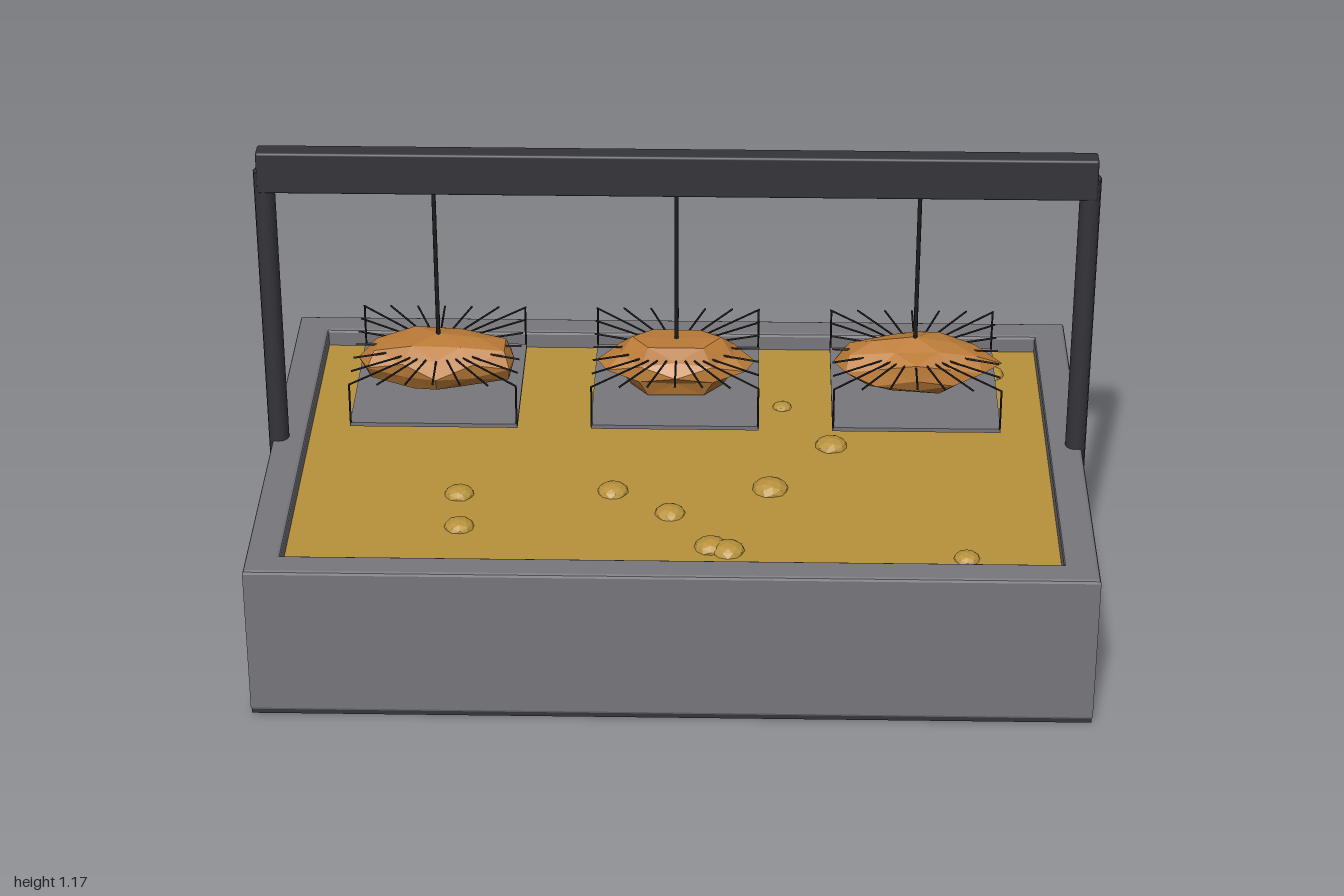
import * as THREE from 'three';
import { RoundedBoxGeometry } from 'three/addons/geometries/RoundedBoxGeometry.js';
import { mergeGeometries } from 'three/addons/utils/BufferGeometryUtils.js';

const mat = (name, color, extra = {}) => new THREE.MeshStandardMaterial({ name, color, ...extra });

export function createModel() {
  const steel = mat('steel grey', 0x77777c);
  const dark = mat('dark frame', 0x34343a);
  const black = mat('black base', 0x1c1c1f);
  const oilMat = mat('golden oil', 0xb8923c, { flatShading: true });
  const crust = mat('fried crust', 0xbc7c38, { flatShading: true });

  const model = new THREE.Group();
  model.name = 'fryer';
  const add = (name, geo, material, x = 0, y = 0, z = 0, parent = model) => {
    const mesh = new THREE.Mesh(geo, material);
    mesh.name = name;
    mesh.position.set(x, y, z);
    parent.add(mesh);
    return mesh;
  };
  const box = (w, h, d) => new THREE.BoxGeometry(w, h, d);

  // Vat walls: a softly bevelled rectangular ring
  const rect = (Type, x, z) => new Type([[-x, -z], [x, -z], [x, z], [-x, z]].map(p => new THREE.Vector2(...p)));
  const bevel = 0.008;
  const ring = rect(THREE.Shape, 0.99 - bevel, 0.625 - bevel);
  ring.holes.push(rect(THREE.Path, 0.91 + bevel, 0.55 + bevel));
  const walls = new THREE.ExtrudeGeometry(ring, {
    depth: 0.385 - 2 * bevel, bevelEnabled: true, bevelSize: bevel, bevelThickness: bevel, bevelSegments: 2,
  });
  walls.rotateX(-Math.PI / 2);
  add('vatWalls', walls, steel, 0, 0.01 + bevel, 0);

  // Underside
  add('baseRim', box(1.976, 0.014, 1.246), dark, 0, 0.009, 0);
  add('basePlate', box(1.84, 0.008, 1.12), black, 0, 0.004, 0);

  // Oil with bubbles: x, z, radius
  add('oil', box(1.83, 0.33, 1.11), oilMat, 0, 0.185, 0);
  const bubbles = [
    [0.79, -0.43, 0.036], [0.15, -0.375, 0.02], [0.09, -0.415, 0.02], [0.26, -0.25, 0.024],
    [0.5, -0.26, 0.015], [-0.5, -0.18, 0.034], [0.38, -0.06, 0.04], [0.23, 0.15, 0.044],
    [-0.01, 0.27, 0.037], [-0.51, 0.34, 0.036], [0.09, 0.42, 0.04], [0.13, 0.435, 0.04],
    [0.69, 0.46, 0.031], [-0.52, 0.19, 0.036], [-0.15, 0.17, 0.038],
  ];
  bubbles.forEach(([x, z, r], i) => {
    const bubble = add('bubble', new THREE.IcosahedronGeometry(r, 1), oilMat, x, 0.35, z);
    bubble.scale.y = 0.55;
    bubble.rotation.y = i;
  });

  // Gantry
  for (const s of [-1, 1]) {
    add('post', new THREE.CylinderGeometry(0.025, 0.025, 1.12, 12), dark, s * 0.975, 0.56, 0);
  }
  add('beam', new RoundedBoxGeometry(1.98, 0.105, 0.05, 2, 0.006), dark, 0, 1.1225, 0);

  // Cylinder wire between two points
  const wire = (a, b, r) => new THREE.TubeGeometry(new THREE.LineCurve3(a, b), 1, r, 5);
  const V = (x, y, z) => new THREE.Vector3(x, y, z);

  // Lumpy food piece: a faceted ball with each direction pushed in or out
  const nugget = seed => {
    const geo = new THREE.IcosahedronGeometry(1, 1);
    const p = geo.attributes.position;
    const v = new THREE.Vector3();
    for (let i = 0; i < p.count; i++) {
      v.fromBufferAttribute(p, i);
      const n = Math.sin(v.x * 7.1 + seed * 2.3) + Math.sin(v.y * 8.3 + seed) + Math.sin(v.z * 9.7 - seed * 1.7);
      v.multiplyScalar(0.97 + 0.07 * n);
      p.setXYZ(i, v.x * 0.19, v.y * 0.07, v.z * 0.1);
    }
    geo.computeVertexNormals();
    return geo;
  };

  // Three hanging baskets
  [-0.575, 0, 0.575].forEach((x, i) => {
    const basket = new THREE.Group();
    basket.name = 'basket';
    basket.position.x = x;
    model.add(basket);
    add('basketTray', box(0.4, 0.01, 0.4), steel, 0, 0.546, 0, basket);
    add('hanger', new THREE.CylinderGeometry(0.005, 0.005, 0.47, 8), black, 0, 0.845, 0, basket);

    // Spokes to the edge of the basket, and an upright at each corner
    const wires = [];
    const steps = 6;
    for (let k = 0; k < steps; k++) {
      const t = -0.2 + (0.4 * k) / steps;
      for (const [px, pz] of [[t, 0.2], [0.2, -t], [-t, -0.2], [-0.2, t]]) {
        wires.push(wire(V(0, 0.654, 0), V(px, 0.654, pz), 0.0025));
      }
    }
    for (const sx of [-0.198, 0.198]) for (const sz of [-0.198, 0.198]) {
      wires.push(wire(V(sx, 0.545, sz), V(sx, 0.655, sz), 0.0025));
    }
    add('basketWires', mergeGeometries(wires), black, 0, 0, 0, basket);
    add('nugget', nugget(i + 1), crust, 0, 0.62, 0, basket);
  });

  return model;
}
